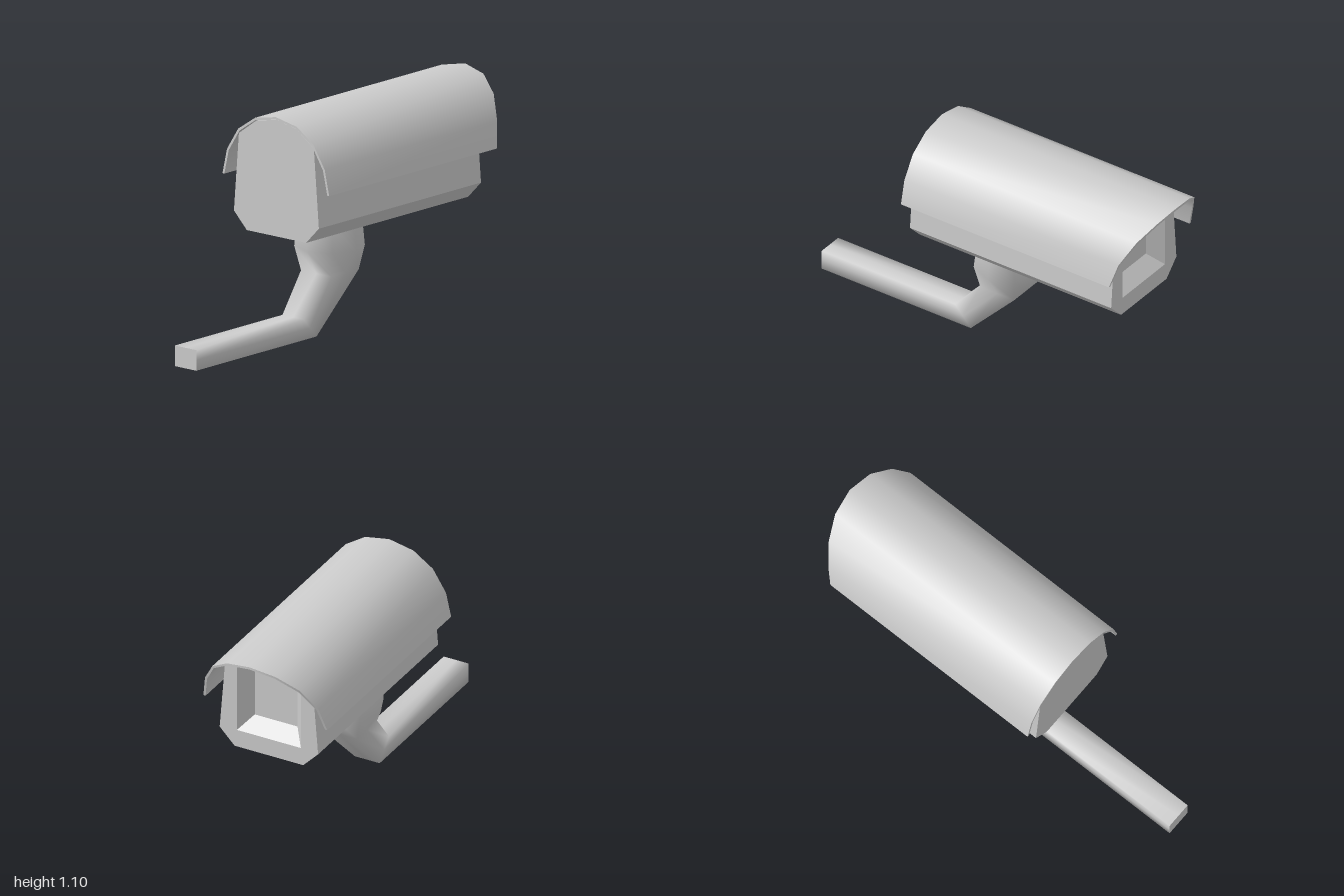
import * as THREE from 'three';
import { toCreasedNormals } from 'three/addons/utils/BufferGeometryUtils.js';

// Skin through closed rings of [x, y, z], counter-clockwise seen from the far end
function loft(rings) {
  const n = rings[0].length;
  const index = [];
  for (let i = 0; i < rings.length - 1; i++) {
    for (let j = 0; j < n; j++) {
      const k = (j + 1) % n;
      const a = i * n + j, b = i * n + k, c = a + n, d = b + n;
      index.push(a, b, c, b, d, c);
    }
  }
  const geo = new THREE.BufferGeometry();
  geo.setAttribute('position', new THREE.Float32BufferAttribute(rings.flat(2), 3));
  geo.setIndex(index);
  geo.computeVertexNormals();
  return geo;
}

// Half profile of [z, y], from the right side up to the apex, mirrored to the left
const mirror = (half) => [...half, ...half.slice(0, -1).reverse().map(([z, y]) => [-z, y])];
const ringAt = (profile, x) => profile.map(([z, y]) => [x, y, z]);
const toShape = (profile) => new THREE.Shape(profile.map(([z, y]) => new THREE.Vector2(-z, y)));
const rect = (w, y0, y1) => [[w, y0], [-w, y0], [-w, y1], [w, y1]];

export function createModel() {
  const model = new THREE.Group();
  const material = new THREE.MeshStandardMaterial({ color: 0xcccccc });
  const add = (name, geometry, parent = model) => {
    const mesh = new THREE.Mesh(geometry, material);
    mesh.name = name;
    parent.add(mesh);
    return mesh;
  };

  // Housing: side walls, back plate, front frame and tapered lens recess
  const housing = new THREE.Group();
  housing.name = 'housing';
  model.add(housing);
  const back = -0.35, front = 0.81, floor = 0.74;
  const body = mirror([[-0.185, 0.515], [-0.265, 0.597], [-0.234, 0.978], [-0.126, 1.056], [0, 1.081]]);
  add('housingWalls', toCreasedNormals(loft([ringAt(body, back), ringAt(body, front)]), 0.6), housing);

  const backPlate = add('backPlate', new THREE.ShapeGeometry(toShape(body)), housing);
  backPlate.rotation.y = -Math.PI / 2;
  backPlate.position.x = back;

  const opening = rect(0.172, 0.605, 0.985);
  const window = rect(0.115, 0.67, 0.92);
  const frameShape = toShape(body);
  frameShape.holes.push(toShape(opening));
  const frame = add('frontFrame', new THREE.ShapeGeometry(frameShape), housing);
  frame.rotation.y = Math.PI / 2;
  frame.position.x = front;

  add('lensRecess', toCreasedNormals(loft([ringAt(opening, front), ringAt(window, floor)]), 0.6), housing);
  const pane = add('lensWindow', new THREE.ShapeGeometry(toShape(window)), housing);
  pane.rotation.y = Math.PI / 2;
  pane.position.x = floor;

  // Sun hood: thin arched shell whose front edge sweeps forward to the apex
  const outer = mirror([[-0.333, 0.767], [-0.305, 0.89], [-0.235, 1.0], [-0.13, 1.07], [0, 1.095]]);
  const inner = mirror([[-0.321, 0.767], [-0.294, 0.885], [-0.227, 0.991], [-0.127, 1.059], [0, 1.083]]);
  const frontHalf = [0.845, 0.88, 0.935, 0.982, 1.0];
  const frontX = [...frontHalf, ...frontHalf.slice(0, -1).reverse()];
  const section = [...outer.slice().reverse(), ...inner];
  const sectionX = [...frontX, ...frontX];
  const last = section.length - 1;
  const middle = section.map(([z, y], j) => [(z + section[last - j][0]) / 2, (y + section[last - j][1]) / 2]);
  const hoodFront = (profile) => profile.map(([z, y], j) => [sectionX[j], y, z]);
  const hoodBack = -0.354;
  // section runs left to right over the top, so it is reversed for outward faces
  const hoodRings = [ringAt(middle, hoodBack), ringAt(section, hoodBack), hoodFront(section), hoodFront(middle)];
  const signed = section.reduce((s, [z, y], j) => {
    const [z2, y2] = section[(j + 1) % section.length];
    return s + (-z * y2 + z2 * y);
  }, 0);
  if (signed < 0) hoodRings.forEach((r) => r.reverse());
  add('sunHood', toCreasedNormals(loft(hoodRings), 0.6));

  // Mount: square arm bending up into an eight-sided knuckle
  // [centre x, centre y, half-width vector x, y, half-width z, squareness]
  const stations = [
    [-1.0, 0.05, 0, -0.05, 0.067, 1],
    [-0.185, 0.05, 0.045, -0.05, 0.067, 1],
    [0.0325, 0.28, 0.0975, 0, 0.095, 1],
    [0.03, 0.4, 0.165, 0, 0.168, 0],
    [0.0325, 0.52, 0.153, 0, 0.154, 0],
  ];
  const mountRings = stations.map(([cx, cy, ux, uy, w, square]) =>
    Array.from({ length: 8 }, (_, j) => {
      const t = (j * Math.PI) / 4;
      const stretch = square && j % 2 ? Math.SQRT2 : 1;
      const u = Math.cos(t) * stretch, v = Math.sin(t) * stretch;
      return [cx + ux * u, cy + uy * u, -w * v];
    }));
  add('mountArm', loft(mountRings));

  // Flat wall end of the arm
  const armEnd = add('armEnd', new THREE.PlaneGeometry(0.134, 0.1));
  armEnd.rotation.y = -Math.PI / 2;
  armEnd.position.set(-1, 0.05, 0);

  return model;
}
